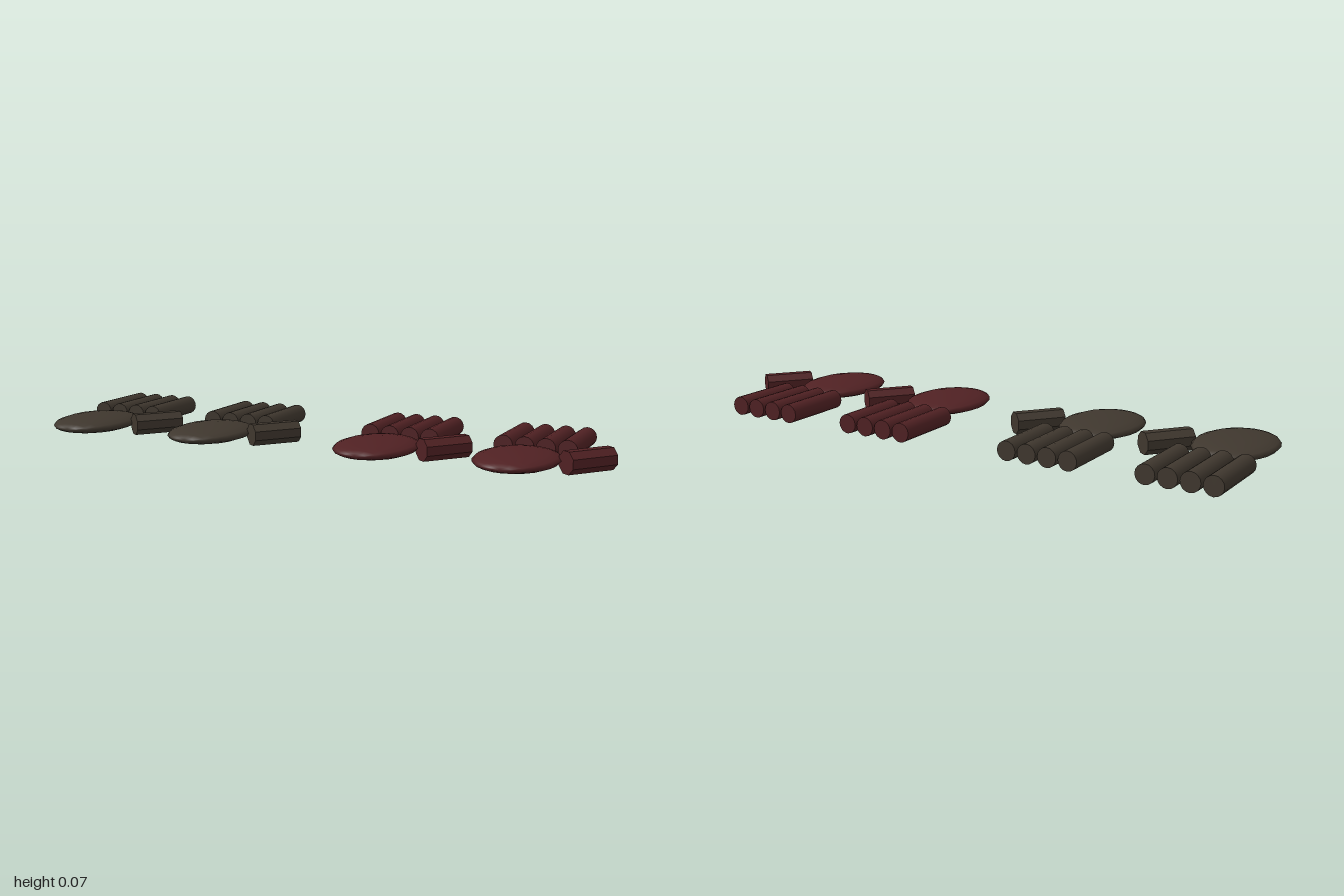
import * as THREE from 'three';

const brown = new THREE.MeshStandardMaterial({ name: 'darkBrown', color: 0x3f372e });
const red = new THREE.MeshStandardMaterial({ name: 'darkRed', color: 0x502123 });

function addMesh(parent, name, geometry, material, x, y, z) {
  const mesh = new THREE.Mesh(geometry, material);
  mesh.name = name;
  mesh.position.set(x, y, z);
  parent.add(mesh);
  return mesh;
}

// Fingers: smooth rods lying along z
const fingerGeometry = new THREE.CylinderGeometry(0.033, 0.033, 0.257, 16).rotateX(Math.PI / 2);

// Palm: flattened low ellipsoid with its poles along z
const palmGeometry = new THREE.SphereGeometry(1, 16, 12).rotateX(Math.PI / 2).scale(0.137, 0.03, 0.182);

// Thumb: eight-sided faceted rod, flat side up, angled outwards
const thumbStart = new THREE.Vector2(-0.706, 0.126);
const thumbEnd = new THREE.Vector2(-0.599, -0.008);
const thumbAxis = thumbEnd.clone().sub(thumbStart);
const thumbGeometry = new THREE.CylinderGeometry(0.0393, 0.0393, thumbAxis.length(), 8)
  .rotateY(Math.PI / 8)
  .rotateX(Math.PI / 2)
  .rotateY(Math.atan2(thumbAxis.x, thumbAxis.y))
  .toNonIndexed();
thumbGeometry.computeVertexNormals();

function createHand(name, material, offset) {
  const hand = new THREE.Group();
  hand.name = name;
  hand.position.x = offset;
  for (let i = 0; i < 4; i++) {
    addMesh(hand, `finger${i + 1}`, fingerGeometry, material, -0.967 + i * 0.0723, 0.0375, -0.1915);
  }
  addMesh(hand, 'palm', palmGeometry, material, -0.859, 0.037, 0.135);
  addMesh(hand, 'thumb', thumbGeometry, material,
    (thumbStart.x + thumbEnd.x) / 2, 0.0363, (thumbStart.y + thumbEnd.y) / 2);
  return hand;
}

export function createModel() {
  const model = new THREE.Group();
  model.name = 'hands';
  // Two brown hands followed by two red ones
  [0, 0.475, 1.098, 1.573].forEach((offset, i) => {
    model.add(createHand(`hand${i + 1}`, i < 2 ? brown : red, offset));
  });
  return model;
}
